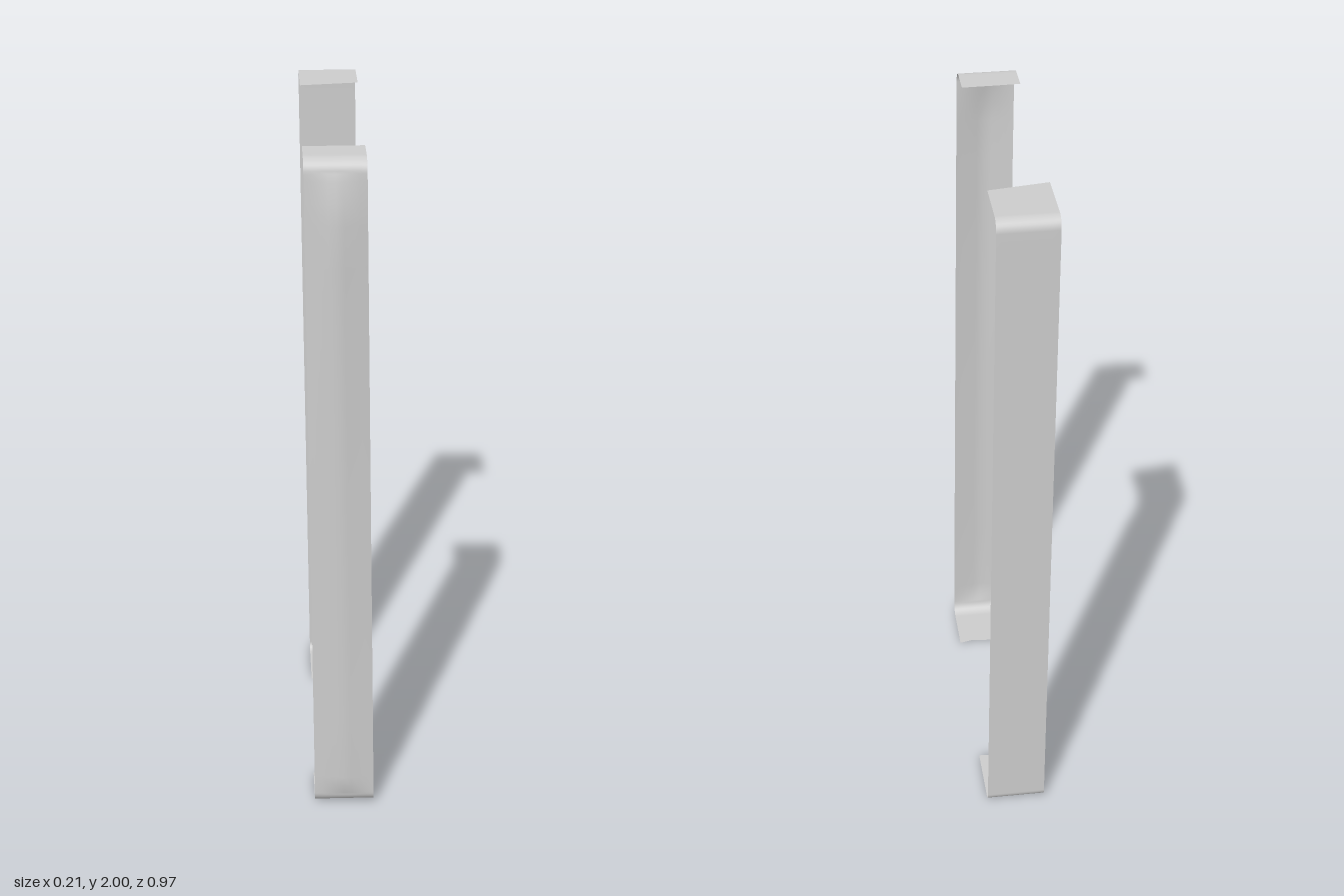
import * as THREE from 'three';

const lerp = THREE.MathUtils.lerp;
const ACROSS = 8; // columns across each strap

// Value at t along a short list of evenly spaced numbers
function sample(list, t) {
  const f = t * (list.length - 1);
  const i = Math.min(Math.floor(f), list.length - 2);
  return lerp(list[i], list[i + 1], f - i);
}

// A thin bent strap: upper flap, rounded bend, long upright, rounded bend, lower flap
function createStrap(name, s) {
  const sign = Math.sign(s.z);
  const rows = []; // each row: height y, depth z (or tip outline), ridge height
  const bend = (r, cy, from, to) => {
    for (let k = 0; k <= 8; k++) {
      const a = lerp(from, to, k / 8);
      rows.push({ y: cy + r * Math.sin(a), z: s.z - sign * r * (1 - Math.cos(a)), ridge: 0 });
    }
  };
  const flap = (tip, r, y, outward) => {
    const zBend = s.z - sign * r;
    for (let k = 0; k < 4; k++) {
      const f = outward ? (k + 1) / 4 : 1 - k / 4;
      rows.push({ y, tip, f, z: zBend, ridge: 0 });
    }
  };

  flap(s.topTip, s.topBend, 2, false);
  bend(s.topBend, 2 - s.topBend, Math.PI / 2, 0);
  for (const [y, ridge] of s.upright) rows.push({ y, z: s.z, ridge });
  bend(s.bottomBend, s.bottomY + s.bottomBend, 0, -Math.PI / 2);
  flap(s.bottomTip, s.bottomBend, s.bottomY, true);

  const positions = [], index = [];
  rows.forEach((row, i) => {
    for (let j = 0; j <= ACROSS; j++) {
      const t = j / ACROSS;
      const h = row.y / 2;
      const x = lerp(lerp(s.bottomX[0], s.topX[0], h), lerp(s.bottomX[1], s.topX[1], h), t);
      const ridge = row.ridge * (1 - Math.abs(2 * t - 1));
      const z = row.tip ? lerp(row.z, sample(row.tip, t), row.f) : row.z + sign * ridge;
      positions.push(x, row.y, z);
      if (i && j) {
        const d = i * (ACROSS + 1) + j, c = d - 1, b = d - ACROSS - 1, a = b - 1;
        if (sign > 0) index.push(a, c, d, a, d, b);
        else index.push(a, d, c, a, b, d);
      }
    }
  });
  const geometry = new THREE.BufferGeometry();
  geometry.setAttribute('position', new THREE.Float32BufferAttribute(positions, 3));
  geometry.setIndex(index);
  geometry.computeVertexNormals();
  const mesh = new THREE.Mesh(geometry, new THREE.MeshStandardMaterial({ color: 0xcccccc, side: THREE.DoubleSide }));
  mesh.name = name;
  return mesh;
}

export function createModel() {
  const model = new THREE.Group();
  model.name = 'strapPair';

  // Front strap with a shallow lengthwise ridge
  model.add(createStrap('frontStrap', {
    z: 0.463,
    topX: [-0.105, 0.065], bottomX: [-0.08, 0.095],
    topTip: [0.338, 0.336, 0.335], bottomTip: [0.295, 0.29, 0.288, 0.294, 0.283],
    topBend: 0.04, bottomBend: 0.035, bottomY: 0.004,
    upright: [[1.94, 0.008], [1.88, 0.018], [1.82, 0.025], [1.7, 0.025], [1.4, 0.022],
      [1, 0.019], [0.6, 0.016], [0.3, 0.015], [0.1, 0.014], [0.06, 0.008]],
  }));

  // Flat back strap with longer flaps
  model.add(createStrap('backStrap', {
    z: -0.485,
    topX: [-0.096, 0.075], bottomX: [-0.07, 0.103],
    topTip: [-0.28, -0.305], bottomTip: [-0.283, -0.285, -0.284, -0.277, -0.275],
    topBend: 0.035, bottomBend: 0.025, bottomY: 0,
    upright: [[1.9, 0], [1.4, 0], [1, 0], [0.6, 0], [0.1, 0]],
  }));
  return model;
}
